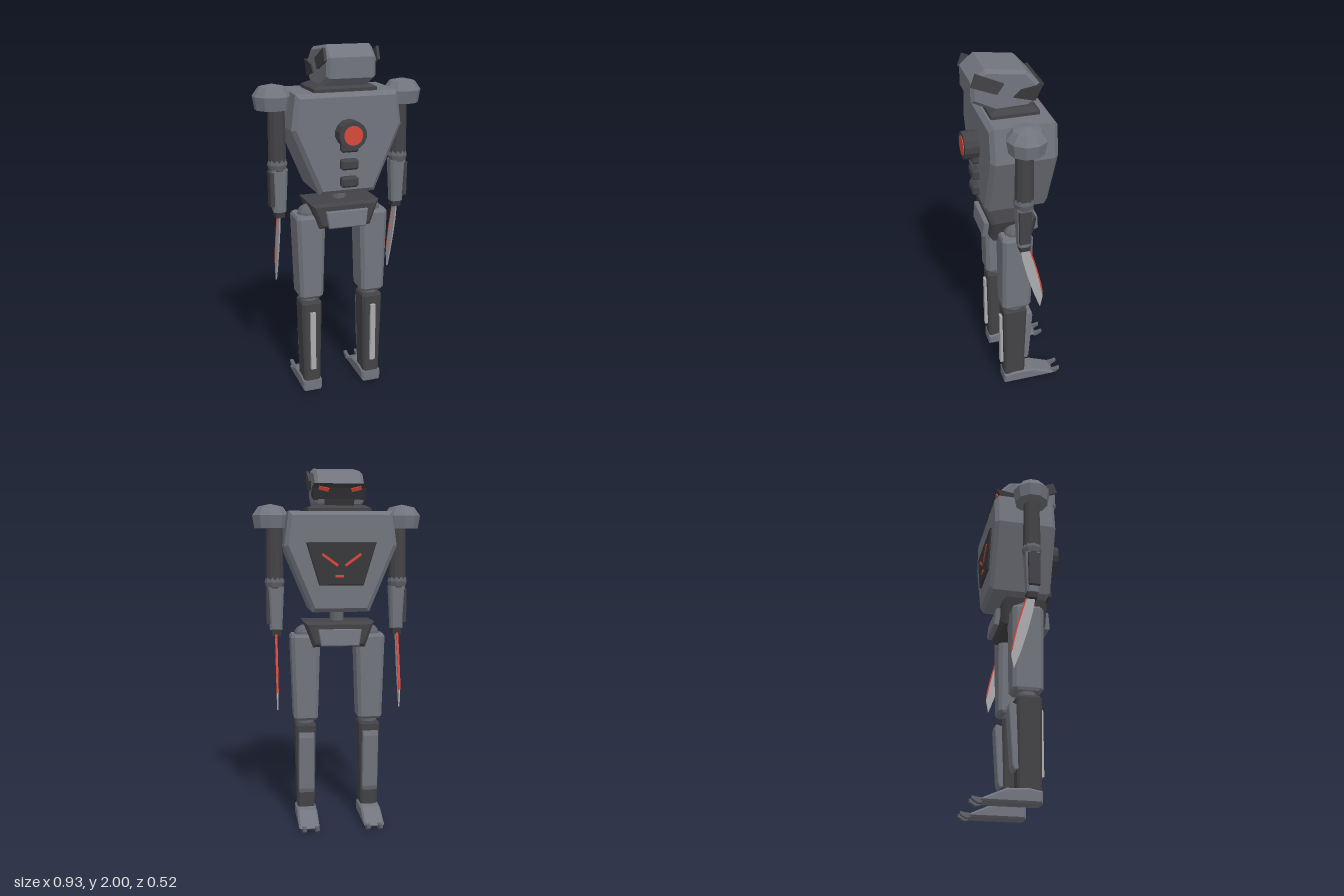
import * as THREE from 'three';

const mat = (name, color, extra = {}) => {
  const m = new THREE.MeshStandardMaterial({ color, flatShading: true, ...extra });
  m.name = name;
  return m;
};

export function createModel() {
  const armour = mat('armour grey', 0x72757e);
  const joint = mat('joint grey', 0x62646b);
  const dark = mat('dark metal', 0x434347);
  const black = mat('panel charcoal', 0x38383b);
  const steel = mat('blade steel', 0xacacb0, { side: THREE.DoubleSide });
  const red = mat('glow red', 0xd9483a);

  const model = new THREE.Group();
  model.name = 'robot';

  function add(name, geo, material, x = 0, y = 0, z = 0, parent = model) {
    const m = new THREE.Mesh(geo, material);
    m.name = name;
    m.position.set(x, y, z);
    parent.add(m);
    return m;
  }
  const box = (w, h, d) => new THREE.BoxGeometry(w, h, d);
  const cyl = (rt, rb, h, n = 12) => new THREE.CylinderGeometry(rt, rb, h, n);
  const shapeOf = pts => new THREE.Shape(pts.map(p => new THREE.Vector2(p[0], p[1])));

  // Front outline extruded along z, total depth d, centred, chamfer b inside the outline
  function plate(pts, d, b = 0, bt = b) {
    const g = new THREE.ExtrudeGeometry(shapeOf(pts), {
      depth: d - 2 * bt, bevelEnabled: b > 0, bevelSize: b, bevelThickness: bt, bevelOffset: -b, bevelSegments: 1,
    });
    return g.translate(0, 0, bt - d / 2);
  }
  // Side outline given as [z, y], extruded along x
  const side = (pts, w, b = 0) => plate(pts, w, b).rotateY(-Math.PI / 2);

  // Chamfered block lofted upward through sections [y, halfX, halfZ, chamfer]
  function loft(sections) {
    const pos = [];
    const rings = sections.map(([y, a, b, c]) => [
      [a, b - c], [a - c, b], [c - a, b], [-a, b - c], [-a, c - b], [c - a, -b], [a - c, -b], [a, c - b],
    ].map(([x, z]) => [x, y, z]));
    const tri = (...v) => v.forEach(p => pos.push(...p));
    for (let r = 0; r + 1 < rings.length; r++) {
      for (let i = 0; i < 8; i++) {
        const j = (i + 1) % 8, lo = rings[r], hi = rings[r + 1];
        tri(lo[i], hi[i], lo[j]);
        tri(lo[j], hi[i], hi[j]);
      }
    }
    const bot = rings[0], top = rings[rings.length - 1];
    for (let i = 1; i < 7; i++) {
      tri(bot[0], bot[i], bot[i + 1]);
      tri(top[0], top[i + 1], top[i]);
    }
    const g = new THREE.BufferGeometry();
    g.setAttribute('position', new THREE.Float32BufferAttribute(pos, 3));
    g.computeVertexNormals();
    return g;
  }

  // Torso: tapered chest with chamfered rims
  add('torso', plate([[-0.155, 1.215], [0.155, 1.215], [0.305, 1.57], [0.28, 1.755], [-0.28, 1.755], [-0.305, 1.57]],
    0.35, 0.022), armour, 0, 0, 0.005);
  add('waist', cyl(0.04, 0.04, 0.12), joint, 0, 1.18, 0.02);

  // Chest display with a stern face
  add('chestPanel', plate([[-0.12, 1.36], [0.12, 1.36], [0.19, 1.59], [-0.19, 1.59]], 0.02, 0.005), black, 0, 0, -0.172);
  for (const s of [-1, 1]) {
    const brow = add('displayBrow', box(0.105, 0.014, 0.006), red, s * 0.062, 1.497, -0.184);
    brow.rotation.z = s * 0.63;
  }
  add('displayMouth', box(0.045, 0.013, 0.006), red, 0.012, 1.41, -0.184);

  // Round core and vents on the other side
  add('coreHousing', cyl(0.075, 0.075, 0.085, 14).rotateX(Math.PI / 2), dark, 0, 1.545, 0.215);
  add('coreLight', cyl(0.052, 0.052, 0.006, 14).rotateX(Math.PI / 2), red, 0, 1.545, 0.259);
  for (const y of [1.475, 1.38, 1.285]) {
    const o = [[-0.047, -0.02], [-0.039, -0.028], [0.039, -0.028], [0.047, -0.02], [0.047, 0.02], [0.039, 0.028], [-0.039, 0.028], [-0.047, 0.02]];
    add('vent', plate(o, 0.05, 0.01), dark, 0, y, 0.193);
  }

  // Collar and neck
  add('collar', loft([[1.745, 0.175, 0.128, 0.008], [1.772, 0.175, 0.128, 0.008], [1.79, 0.14, 0.1, 0.008]]), dark, 0, 0, 0.018);
  add('neck', box(0.24, 0.06, 0.17), dark, 0, 1.795, 0.02);

  // Head with visor, eyes and swept fins
  add('head', side([[0.232, 1.94], [0.16, 2.0], [-0.05, 1.972], [-0.122, 1.895], [-0.085, 1.795],
    [-0.06, 1.78], [0.11, 1.775], [0.232, 1.835]], 0.268, 0.018), armour);
  add('visor', side([[0.02, 1.845], [-0.02, 1.882], [-0.137, 1.9], [-0.122, 1.878], [-0.092, 1.815]], 0.285), black);
  add('jaw', side([[-0.105, 1.82], [-0.085, 1.785], [0.02, 1.775], [0.02, 1.82]], 0.16), dark);
  for (const s of [-1, 1]) {
    const eye = add('eye', box(0.055, 0.02, 0.009), red, s * 0.088, 1.872, -0.123);
    eye.rotation.set(-0.45, 0, s * 0.25);
    add('headFin', side([[0.236, 1.925], [0.212, 1.99], [0.07, 1.925], [0.106, 1.873]], 0.014), dark, s * 0.142, 0, 0);
  }

  // Pelvis with a plate on each face
  add('pelvis', plate([[-0.145, 1.015], [0.145, 1.015], [0.195, 1.155], [-0.195, 1.155]], 0.25, 0.018), dark, 0, 0, 0.025);
  for (const s of [-1, 1]) {
    const p = add('pelvisPlate', plate([[-0.105, -0.047], [0.105, -0.047], [0.12, 0.047], [-0.12, 0.047]], 0.03, 0.005),
      armour, 0, 1.07, 0.025 + s * 0.14);
    p.rotation.x = -s * 0.12;
  }

  for (const s of [-1, 1]) {
    // Arm
    const arm = new THREE.Group();
    arm.name = s > 0 ? 'leftArm' : 'rightArm';
    model.add(arm);
    const cap = [[0, 1.665], [0.092, 1.665], [0.104, 1.735], [0.07, 1.782], [0, 1.797]].map(p => new THREE.Vector2(...p));
    add('shoulder', new THREE.LatheGeometry(cap, 10), armour, s * 0.367, 0, 0.02, arm);
    add('upperArm', cyl(0.046, 0.05, 0.3), dark, s * 0.347, 1.53, 0.025, arm);
    add('elbow', new THREE.SphereGeometry(0.056, 10, 6), joint, s * 0.347, 1.37, 0.025, arm);
    add('forearm', loft([[1.105, 0.034, 0.032, 0.012], [1.345, 0.045, 0.042, 0.014]]), armour, s * 0.342, 0, 0.025, arm);
    add('forearmPlate', loft([[1.14, 0.012, 0.03, 0.004], [1.33, 0.012, 0.034, 0.004]]), dark, s * 0.385, 0, 0.028, arm);
    add('wrist', box(0.05, 0.035, 0.055), black, s * 0.342, 1.09, 0.02, arm);

    // Curved blade with a glowing edge
    const blade = shapeOf([[0.042, 1.085], [0.028, 1.0], [0, 0.89], [-0.04, 0.76], [-0.076, 0.665],
      [-0.09, 0.74], [-0.075, 0.83], [-0.053, 0.92], [-0.03, 1.0], [-0.005, 1.085]]);
    const bladeGeo = new THREE.ExtrudeGeometry(blade, { depth: 0.008, bevelEnabled: false })
      .translate(0, 0, -0.004).rotateY(-Math.PI / 2);
    add('blade', bladeGeo, steel, s * 0.343, 0, 0, arm);
    add('bladeEdge', side([[-0.003, 1.08], [-0.027, 1.0], [-0.05, 0.92], [-0.071, 0.83], [-0.083, 0.765],
      [-0.09, 0.765], [-0.078, 0.83], [-0.057, 0.92], [-0.034, 1.0], [-0.01, 1.08]], 0.012), red, s * 0.343, 0, 0, arm);

    // Leg
    const leg = new THREE.Group();
    leg.name = s > 0 ? 'leftLeg' : 'rightLeg';
    model.add(leg);
    const x = s * 0.182;
    add('hip', new THREE.SphereGeometry(0.062, 10, 8), joint, x, 1.07, 0.025, leg);
    add('thigh', loft([[0.595, 0.06, 0.07, 0.016], [0.61, 0.067, 0.083, 0.018], [1.065, 0.082, 0.086, 0.02],
      [1.08, 0.074, 0.078, 0.018]]), armour, x, 0, 0.025, leg);
    add('knee', cyl(0.05, 0.05, 0.08), joint, x, 0.58, 0.028, leg);
    add('shin', loft([[0.075, 0.048, 0.062, 0.012], [0.56, 0.059, 0.068, 0.014], [0.572, 0.052, 0.06, 0.012]]),
      dark, x, 0, 0.032, leg);
    add('calfStrip', box(0.03, 0.355, 0.025), steel, x, 0.333, 0.101, leg);
    add('shinGuard', side([[-0.025, 0.52], [-0.068, 0.53], [-0.074, 0.5], [-0.055, 0.2], [-0.045, 0.175], [-0.022, 0.18]],
      0.088, 0.005), armour, x, 0, 0, leg);
    add('foot', side([[0.097, 0.012], [0.097, 0.075], [0.03, 0.088], [-0.085, 0.083], [-0.195, 0.035], [-0.215, 0.022], [-0.2, 0.012]],
      0.114, 0.01), armour, x, 0, 0, leg);
    for (const t of [-0.035, 0.035]) {
      add('toe', side([[-0.185, 0.03], [-0.23, 0.034], [-0.257, 0.04], [-0.257, 0.022], [-0.225, 0.002], [-0.205, 0.004]],
        0.022, 0.003), joint, x - s * 0.005 + t, 0, 0, leg);
    }
  }
  return model;
}
